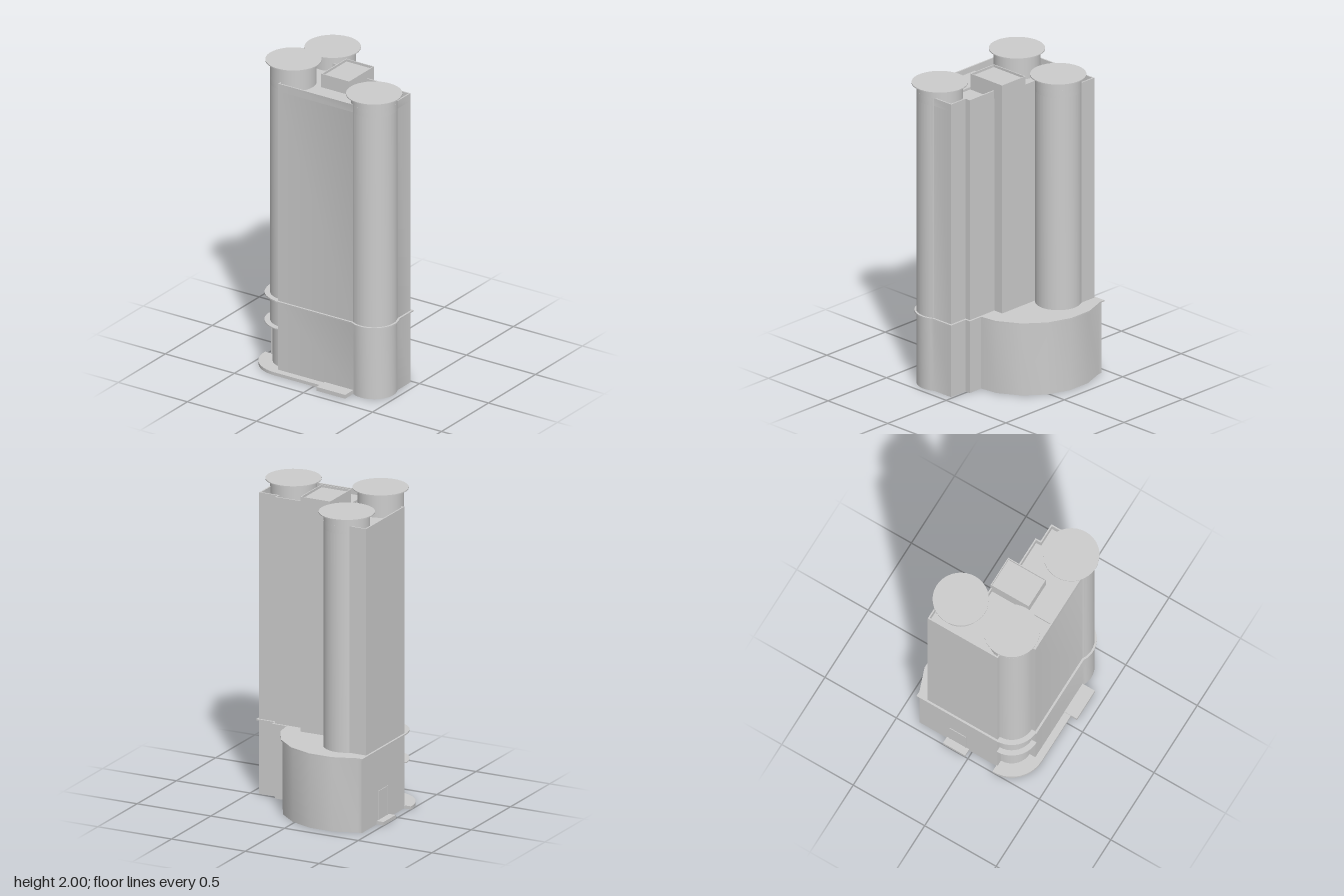
import * as THREE from 'three';
import { toCreasedNormals } from 'three/addons/utils/BufferGeometryUtils.js';

const material = new THREE.MeshStandardMaterial({ color: 0xcccccc, side: THREE.DoubleSide });

// Plan positions of the three round towers, [x, z]
const BACK = [-0.26, -0.195], ENTRY = [-0.29, 0.18], CORNER = [0.325, 0.225];
const DRUM_R = 0.14, LEDGE_Y = 0.465, ROOF_Y = 1.85, PARAPET_Y = 1.9;

// Points on a plan arc, from angle a to angle b
function arc([cx, cz], r, a, b) {
  const n = Math.max(2, Math.ceil(Math.abs(b - a) / 0.17));
  return Array.from({ length: n + 1 }, (_, i) => {
    const t = a + (b - a) * i / n;
    return [cx + r * Math.cos(t), cz + r * Math.sin(t)];
  });
}

// Move a closed plan outline inward by d (outward if negative), with mitred corners
function inset(pts, d) {
  const normal = (p, q) => {
    const l = Math.hypot(q[0] - p[0], q[1] - p[1]);
    return [(q[1] - p[1]) / l, (p[0] - q[0]) / l];
  };
  return pts.map((p, i) => {
    const m = normal(pts[(i + pts.length - 1) % pts.length], p);
    const n = normal(p, pts[(i + 1) % pts.length]);
    const k = d / Math.max(0.3, 1 + m[0] * n[0] + m[1] * n[1]);
    return [p[0] + (m[0] + n[0]) * k, p[1] + (m[1] + n[1]) * k];
  });
}

const rect = (x0, x1, z0, z1) => [[x0, z1], [x1, z1], [x1, z0], [x0, z0]];

// Upright prism over a plan outline, optionally hollow
function prism(name, pts, y0, y1, hole) {
  const flat = list => list.map(([x, z]) => new THREE.Vector2(x, -z));
  const shape = new THREE.Shape(flat(pts));
  if (hole) shape.holes.push(new THREE.Path(flat(hole)));
  const geo = new THREE.ExtrudeGeometry(shape, { depth: y1 - y0, bevelEnabled: false });
  geo.rotateX(-Math.PI / 2).translate(0, y0, 0);
  const mesh = new THREE.Mesh(toCreasedNormals(geo, 0.5), material);
  mesh.name = name;
  return mesh;
}

function cylinder(name, [x, z], r, y0, y1, open = false) {
  const mesh = new THREE.Mesh(new THREE.CylinderGeometry(r, r, y1 - y0, 36, 1, open), material);
  mesh.position.set(x, (y0 + y1) / 2, z);
  mesh.name = name;
  return mesh;
}

export function createModel() {
  const model = new THREE.Group();
  model.name = 'towerBlock';

  // Front wall, rounded corner and stepped side shared by base and tower
  const frontAndSide = [
    [-0.29, 0.345],
    ...arc(CORNER, DRUM_R, 2.113, -0.541),
    [0.445, 0.013], [0.32, 0.013], [0.32, -0.022],
  ];
  const entryCorner = r => [[-0.452, 0.18], ...arc(ENTRY, r, Math.PI, Math.PI / 2)];
  const podiumPlan = r => [
    ...frontAndSide,
    [0.223, -0.022], [0.208, -0.136], [0.13, -0.272], [0.013, -0.369],
    [-0.132, -0.42], [-0.283, -0.42], [-0.428, -0.368], [-0.452, -0.368],
    ...entryCorner(r),
  ];
  const towerPlan = [
    ...frontAndSide,
    [0.11, -0.022], [0.11, -0.088],
    ...arc(BACK, DRUM_R, 0.87, -2.179),
    [-0.452, -0.31],
    ...entryCorner(DRUM_R),
  ];

  // Hollow podium, open underneath, with the ledge as its roof
  const podium = podiumPlan(0.125);
  model.add(prism('podiumWall', podium, 0, LEDGE_Y, inset(podium, 0.006)));
  model.add(prism('ledge', inset(podiumPlan(0.16), -0.013), LEDGE_Y, LEDGE_Y + 0.008));

  // Tower shaft with a sunken roof behind a thin parapet
  model.add(prism('towerShaft', towerPlan, LEDGE_Y, ROOF_Y));
  model.add(prism('parapet', towerPlan, ROOF_Y, PARAPET_Y, inset(towerPlan, 0.009)));
  model.add(prism('raisedRoof', rect(-0.09, 0.24, 0.178, 0.337), ROOF_Y, ROOF_Y + 0.015));

  // Round towers with overhanging disc caps
  for (const [name, at, bottom, top] of [
    ['backDrum', BACK, LEDGE_Y, 1.95],
    ['entryDrum', ENTRY, 0.27, 2.0],
    ['cornerDrum', CORNER, LEDGE_Y, 1.95],
  ]) {
    model.add(cylinder(name, at, DRUM_R, bottom, top - 0.006));
    model.add(cylinder(name + 'Cap', at, 0.169, top - 0.006, top));
  }

  // Lift housing with a shallow recessed top
  const housing = rect(-0.09, 0.112, -0.088, 0.178);
  model.add(prism('liftHousing', housing, ROOF_Y, 1.938));
  model.add(prism('liftHousingRim', housing, 1.938, 1.953, inset(housing, 0.006)));

  // Entrance column, its round canopy and the curved step
  model.add(cylinder('entranceColumn', ENTRY, 0.125, 0, 0.27, true));
  const canopy = [[-0.29, 0.18], ...arc(ENTRY, 0.174, Math.PI, Math.PI / 2)];
  model.add(prism('entranceCanopy', canopy, 0.285, 0.291));
  model.add(prism('entranceStep', [
    [0.05, 0.39], [0.05, 0.345], [-0.29, 0.345],
    ...arc(ENTRY, 0.125, Math.PI / 2, Math.PI),
    [-0.452, 0.18], [-0.452, 0.172], [-0.499, 0.172],
    ...arc(ENTRY, 0.21, Math.PI, Math.PI / 2),
  ], 0, 0.02));

  // Front and side steps, and the side door
  model.add(prism('frontStep', rect(0.047, 0.256, 0.345, 0.432), 0, 0.025));
  model.add(prism('sideStep', rect(-0.499, -0.452, -0.175, -0.02), 0, 0.022));
  const frame = new THREE.Group();
  frame.name = 'sideDoor';
  for (const [name, z0, z1, y0, y1, x] of [
    ['doorPanel', -0.15, -0.045, 0.022, 0.2, -0.453],
    ['backJamb', -0.155, -0.149, 0.022, 0.205, -0.456],
    ['frontJamb', -0.046, -0.04, 0.022, 0.205, -0.456],
    ['lintel', -0.155, -0.04, 0.199, 0.205, -0.456],
  ]) frame.add(prism(name, rect(x, -0.444, z0, z1), y0, y1));
  model.add(frame);

  return model;
}
